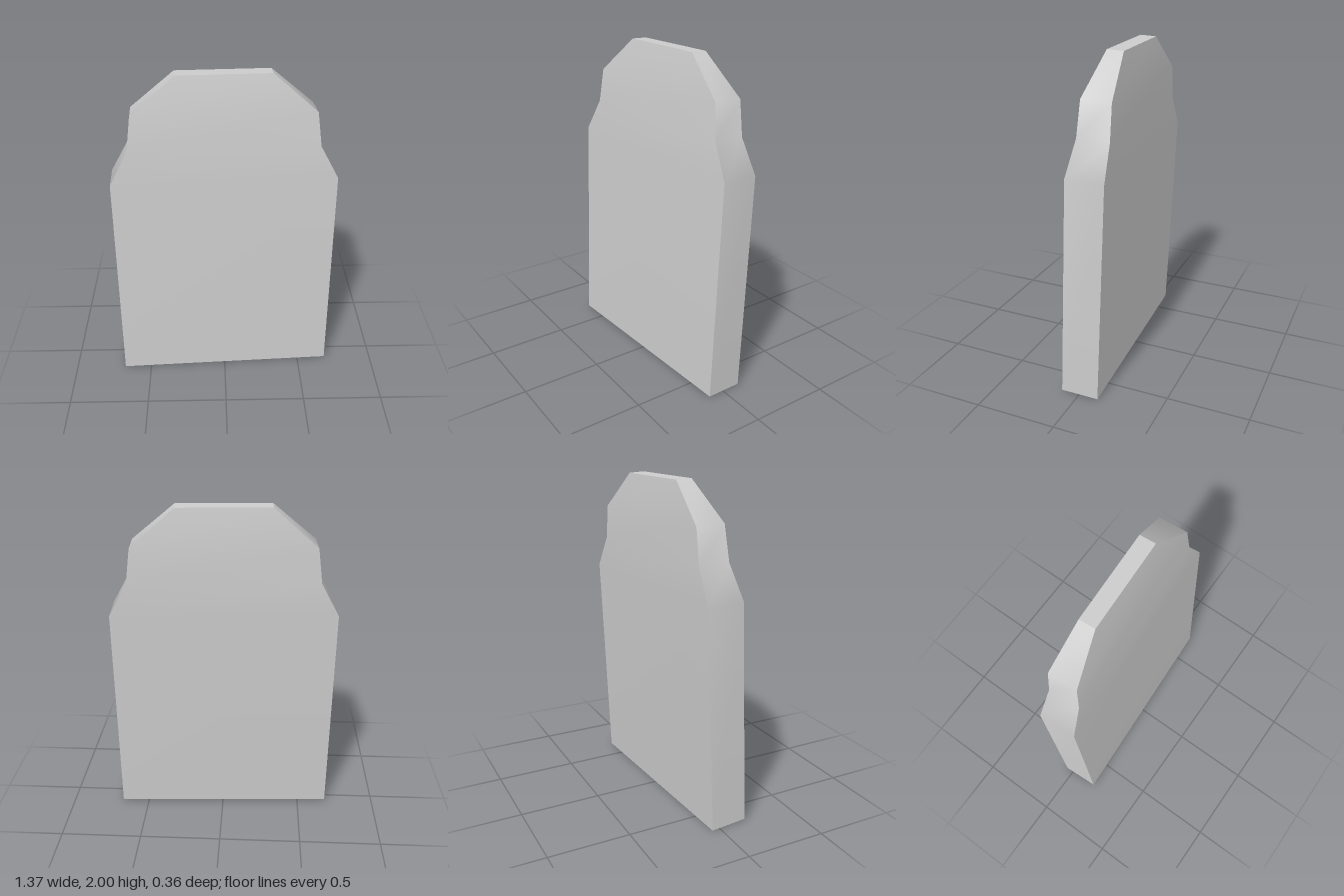
import * as THREE from 'three';

// Cross-sections from base to top: height, half width, half thickness
const SECTIONS = [
  [0, 0.68, 0.115],
  [1.36, 0.68, 0.115],
  [1.56, 0.57, 0.0975],
  [1.77, 0.542, 0.09],
  [1.995, 0.28, 0.05],
];
// Corner signs, running round the section from front right
const CORNERS = [[-1, 1], [1, 1], [1, -1], [-1, -1]];

const corner = ([y, w, t], k) => {
  const [sx, sz] = CORNERS[k % 4];
  return [sx * w, y, sz * t];
};

// Smooth strip of quads through pairs of points, each pair [left, right]
function strip(pairs) {
  const index = [];
  for (let i = 0; i < pairs.length - 1; i++) {
    const a = 2 * i;
    index.push(a, a + 1, a + 3, a, a + 3, a + 2);
  }
  const geometry = new THREE.BufferGeometry();
  geometry.setAttribute('position', new THREE.Float32BufferAttribute(pairs.flat(2), 3));
  geometry.setIndex(index);
  geometry.computeVertexNormals();
  return geometry;
}

export function createModel() {
  const model = new THREE.Group();
  model.name = 'headstone';
  // Underside is open, so the inside shows
  const stone = new THREE.MeshStandardMaterial({ color: 0xcccccc, side: THREE.DoubleSide });

  const slab = new THREE.Group();
  slab.name = 'leaningSlab';
  const add = (name, pairs) => {
    const mesh = new THREE.Mesh(strip(pairs), stone);
    mesh.name = name;
    slab.add(mesh);
  };

  // Four walls, smooth along their height and sharp between each other
  ['frontFace', 'leftSide', 'backFace', 'rightSide'].forEach((name, k) =>
    add(name, SECTIONS.map((s) => [corner(s, k), corner(s, k + 1)])));

  // Flat top
  const top = SECTIONS[SECTIONS.length - 1];
  add('topFace', [[corner(top, 0), corner(top, 1)], [corner(top, 3), corner(top, 2)]]);

  // Slightly turned and leaning back
  slab.rotation.set(-0.0425, 0.052, 0, 'YXZ');
  slab.position.set(0, 0.005, 0.03);
  model.add(slab);
  return model;
}
